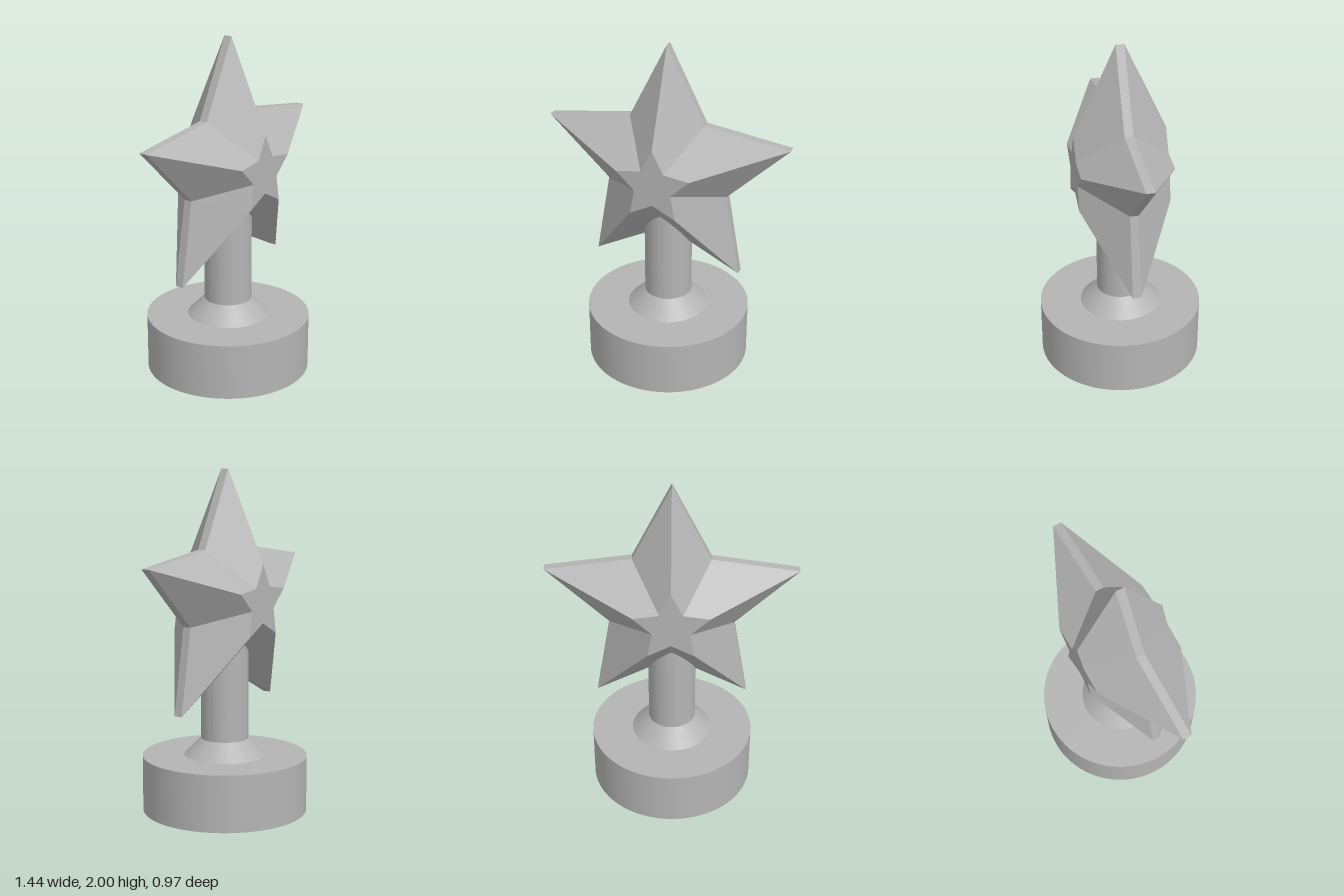
import * as THREE from 'three';
import { toCreasedNormals } from 'three/addons/utils/BufferGeometryUtils.js';

const grey = new THREE.MeshStandardMaterial({ color: 0xb4b4b4 });
grey.name = 'grey';

function addMesh(group, name, geometry) {
  const mesh = new THREE.Mesh(geometry, grey);
  mesh.name = name;
  group.add(mesh);
  return mesh;
}

// Turned part with sharp edges; the profile runs so that outer walls go upward
function turned(profile) {
  const points = profile.map(([r, y]) => new THREE.Vector2(r, y));
  return toCreasedNormals(new THREE.LatheGeometry(points, 96), 0.5);
}

// Faceted star: star outlines stacked from back to front, joined by flat quads
function starGeometry(outer, inner, sections) {
  const corner = ([scale, z], i) => {
    const a = Math.PI / 2 + (i * Math.PI) / 5;
    const r = (i % 2 ? inner : outer) * scale;
    return [r * Math.cos(a), r * Math.sin(a), z];
  };
  const positions = [];
  for (let k = 0; k < sections.length - 1; k++) {
    const [low, high] = [sections[k], sections[k + 1]];
    for (let i = 0; i < 10; i++) {
      const a = corner(low, i), b = corner(low, i + 1);
      const c = corner(high, i + 1), d = corner(high, i);
      if (low[0] > 0) positions.push(...a, ...b, ...c);
      if (high[0] > 0) positions.push(...a, ...c, ...d);
    }
  }
  const geometry = new THREE.BufferGeometry();
  geometry.setAttribute('position', new THREE.Float32BufferAttribute(positions, 3));
  geometry.computeVertexNormals();
  return geometry;
}

export function createModel() {
  const group = new THREE.Group();
  group.name = 'starOnStand';

  // Round base, hollow underneath
  addMesh(group, 'base', turned([
    [0.15, 0.28], [0.43, 0.28], [0.43, 0], [0.485, 0], [0.485, 0.33], [0.2, 0.33],
  ]));

  // Tubular post with a flared collar and a bored, chamfered lower end
  addMesh(group, 'post', turned([
    [0, 1.05], [0.13, 1.05], [0.13, 0], [0.145, 0], [0.16, 0.02], [0.16, 0.31],
    [0.24, 0.33], [0.14, 0.43], [0.14, 1.1], [0, 1.1],
  ]));

  // Bevelled star with a small flat star on each side
  const star = addMesh(group, 'star', starGeometry(0.755, 0.378, [
    [0, -0.268], [0.3, -0.268], [1, -0.025], [1, 0.025], [0.3, 0.268], [0, 0.268],
  ]));
  star.position.y = 1.245;

  return group;
}
